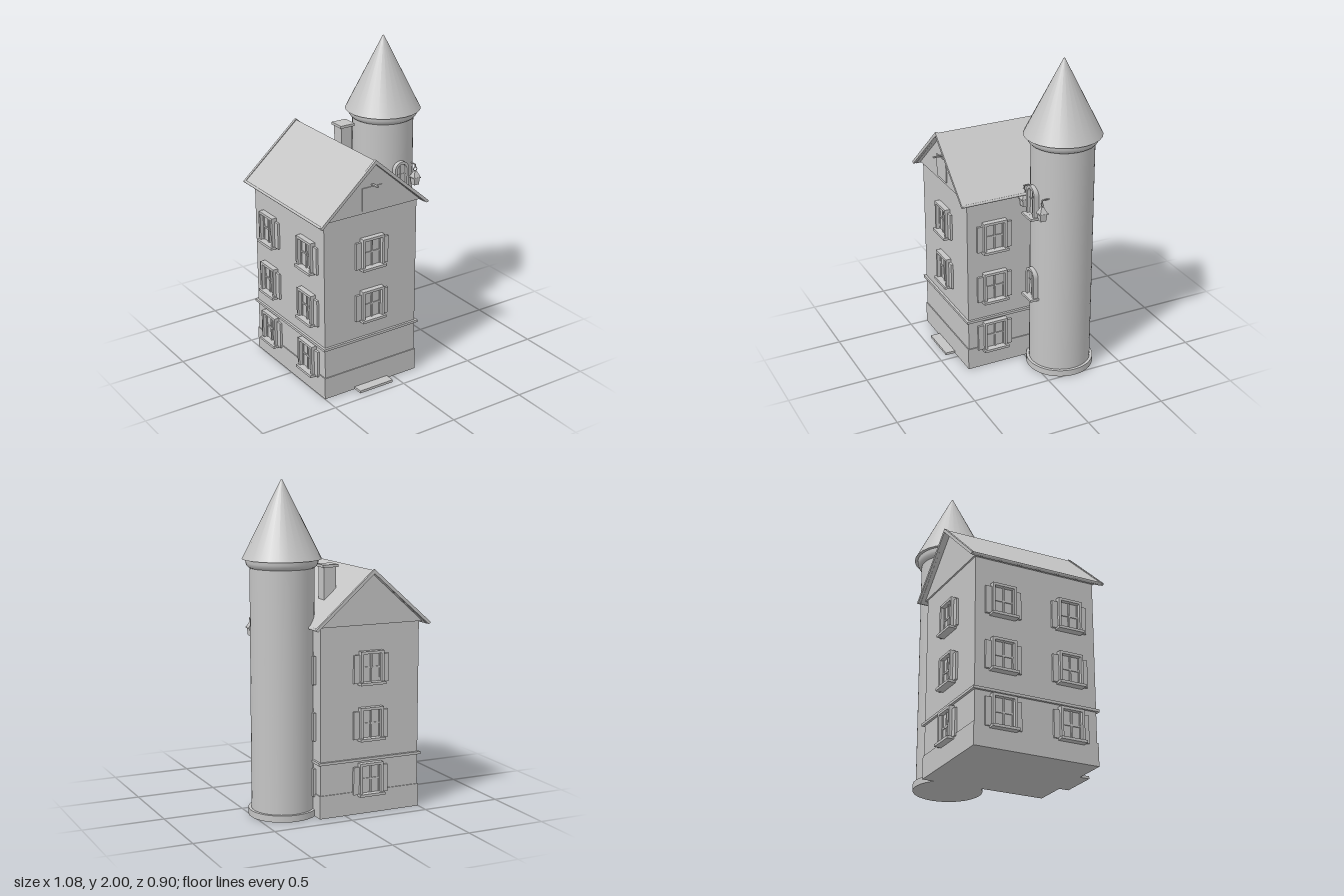
import * as THREE from 'three';

const stone = new THREE.MeshStandardMaterial({ color: 0xc4c4c4 });
stone.name = 'pale grey';

const CX = -0.166, CZ = -0.01;           // centre of the house
const HW = 0.327, HD = 0.39;             // half width and half depth of its walls
const TX = 0.306, TZ = -0.178, TR = 0.19; // tower centre and radius

function add(parent, name, geometry, x = 0, y = 0, z = 0) {
  const mesh = new THREE.Mesh(geometry, stone);
  mesh.name = name;
  mesh.position.set(x, y, z);
  parent.add(mesh);
  return mesh;
}
function group(parent, name, x = 0, y = 0, z = 0) {
  const g = new THREE.Group();
  g.name = name;
  g.position.set(x, y, z);
  parent.add(g);
  return g;
}
const box = (w, h, d) => new THREE.BoxGeometry(w, h, d);
const poly = (pts) => new THREE.Shape(pts.map(([x, y]) => new THREE.Vector2(x, y)));
const extrude = (shape, depth) =>
  new THREE.ExtrudeGeometry(shape, { depth, bevelEnabled: false, curveSegments: 10 });

// Square window with shutters; origin at the wall, bottom centre, facing +z
function squareWindow(parent, x, y, z, turn) {
  const w = group(parent, 'window', x, y, z);
  w.rotation.y = turn;
  const frame = poly([[-0.077, 0.012], [0.077, 0.012], [0.077, 0.2], [-0.077, 0.2]]);
  frame.holes.push(poly([[-0.061, 0.012], [-0.061, 0.183], [0.061, 0.183], [0.061, 0.012]].map(([a, b]) => [a, b + 0.001])));
  add(w, 'windowFrame', extrude(frame, 0.034));
  add(w, 'windowPane', box(0.124, 0.17, 0.008), 0, 0.098, 0.004);
  add(w, 'mullion', box(0.01, 0.17, 0.016), 0, 0.098, 0.008);
  add(w, 'crossbar', box(0.122, 0.01, 0.014), 0, 0.1, 0.007);
  for (const s of [-1, 1]) {
    add(w, 'sash', box(0.007, 0.17, 0.014), s * 0.057, 0.098, 0.007);
    add(w, 'shutter', box(0.037, 0.17, 0.014), s * 0.0955, 0.093, 0.009);
  }
  add(w, 'windowSill', box(0.168, 0.016, 0.048), 0, 0.006, 0.024);
}

// Round-headed outline
function arch(halfWidth, bottom, spring) {
  const s = new THREE.Shape();
  s.moveTo(-halfWidth, bottom);
  s.lineTo(halfWidth, bottom);
  s.lineTo(halfWidth, spring);
  s.absarc(0, spring, halfWidth, 0, Math.PI, false);
  s.closePath();
  return s;
}

function archedWindow(parent, y) {
  const w = group(parent, 'archedWindow', TX, y, TZ + TR - 0.012);
  const frame = arch(0.052, 0.012, 0.15);
  frame.holes.push(arch(0.035, 0.014, 0.15));
  add(w, 'archFrame', extrude(frame, 0.036));
  add(w, 'archPane', extrude(arch(0.037, 0.012, 0.15), 0.016));
  add(w, 'archMullion', box(0.007, 0.166, 0.022), 0, 0.098, 0.011);
  add(w, 'archCrossbar', box(0.072, 0.007, 0.02), 0, 0.112, 0.01);
  add(w, 'archSill', box(0.12, 0.015, 0.06), 0, 0.006, 0.03);
}

// Hanging lantern with a bracket running back to the tower
function lantern(parent, x) {
  const l = group(parent, 'lantern', x, 0, 0.015);
  const square = (top, bottom, h) =>
    new THREE.CylinderGeometry(top * Math.SQRT2, bottom * Math.SQRT2, h, 4).rotateY(Math.PI / 4).toNonIndexed();
  const parts = [['lanternBase', 0.018, 0.018, 0.006, 1.067], ['lanternBody', 0.022, 0.018, 0.04, 1.09],
    ['lanternRim', 0.027, 0.027, 0.006, 1.111], ['lanternRoof', 0.007, 0.025, 0.04, 1.134]];
  for (const [name, a, b, h, y] of parts) {
    const g = square(a, b, h);
    g.computeVertexNormals();
    add(l, name, g, 0, y, 0);
  }
  add(l, 'lanternRing', new THREE.TorusGeometry(0.013, 0.003, 6, 14), 0, 1.166, 0);
  add(l, 'lanternHook', box(0.005, 0.02, 0.005), 0, 1.187, 0);
  add(l, 'lanternBracket', box(0.006, 0.006, 0.06), 0, 1.195, -0.027);
}

function buildHouse(root) {
  const house = group(root, 'house');
  add(house, 'walls', box(HW * 2, 1.155, HD * 2), CX, 0.5775, CZ);
  add(house, 'plinth', box(HW * 2 + 0.012, 0.14, HD * 2 + 0.012), CX, 0.07, CZ);
  add(house, 'stringCourse', box(HW * 2 + 0.03, 0.016, HD * 2 + 0.03), CX, 0.336, CZ);
  add(house, 'doorstep', box(0.24, 0.016, 0.09), CX, 0.008, 0.403);

  // Gables and boxed eaves
  const gable = poly([[-0.366, 1.15], [0.366, 1.15], [0, 1.468]]);
  add(house, 'gable', extrude(gable, 0.8), CX, 0, CZ - 0.4);

  // Roof covering with verge boards at both ends and gutters
  const chevron = (w, top, t) => extrude(
    poly([[-w, 1.14], [-w + 0.012, 1.135], [0, top - t], [w - 0.012, 1.135], [w, 1.14], [w, 1.148], [0, top], [-w, 1.148]]), 1);
  add(house, 'roof', chevron(0.373, 1.475, 0.018), CX, 0, -0.435).scale.z = 0.85;
  for (const z of [-0.45, 0.415])
    add(house, 'vergeBoard', chevron(0.378, 1.482, 0.026), CX, 0, z).scale.z = 0.016;
  for (const s of [-1, 1])
    add(house, 'gutter', new THREE.CylinderGeometry(0.008, 0.008, 0.87, 10).rotateX(Math.PI / 2), CX + s * 0.37, 1.145, CZ);

  // Loft hatch and hoist hook
  add(house, 'loftHatch', box(0.138, 0.14, 0.006), CX - 0.002, 1.24, 0.393);
  add(house, 'hoistBeam', box(0.014, 0.007, 0.06), CX, 1.322, 0.418);

  add(house, 'chimney', box(0.078, 0.3, 0.08), 0.012, 1.335, -0.18);
  add(house, 'chimneyCap', box(0.102, 0.016, 0.102), 0.012, 1.487, -0.18);

  // Windows on every floor; the front ground floor has none
  [0.115, 0.455, 0.795].forEach((y, floor) => {
    if (floor > 0) squareWindow(house, CX, y, CZ + HD, 0);
    squareWindow(house, CX, y, CZ - HD, Math.PI);
    for (const dz of [-0.216, 0.216]) for (const s of [-1, 1])
      squareWindow(house, CX + s * HW, y, CZ + dz, s * Math.PI / 2);
  });
}

function buildTower(root) {
  const tower = group(root, 'tower');
  add(tower, 'towerWall', new THREE.CylinderGeometry(TR, TR, 1.52, 40), TX, 0.76, TZ);
  add(tower, 'towerBase', new THREE.CylinderGeometry(0.208, 0.208, 0.04, 40), TX, 0.02, TZ);

  // Moulded cornice under the cone
  const profile = [[0.188, 1.488], [0.2, 1.495], [0.209, 1.506], [0.214, 1.52], [0.215, 1.541]];
  add(tower, 'cornice', new THREE.LatheGeometry(profile.map(([r, y]) => new THREE.Vector2(r, y)), 40), TX, 0, TZ);
  add(tower, 'coneRoof', new THREE.CylinderGeometry(0.004, 0.235, 0.46, 26), TX, 1.77, TZ);

  for (const y of [0.497, 1.042]) archedWindow(tower, y);
  for (const s of [-1, 1]) lantern(tower, TX + s * 0.115);
}

export function createModel() {
  const root = new THREE.Group();
  root.name = 'towerHouse';
  buildHouse(root);
  buildTower(root);
  return root;
}
